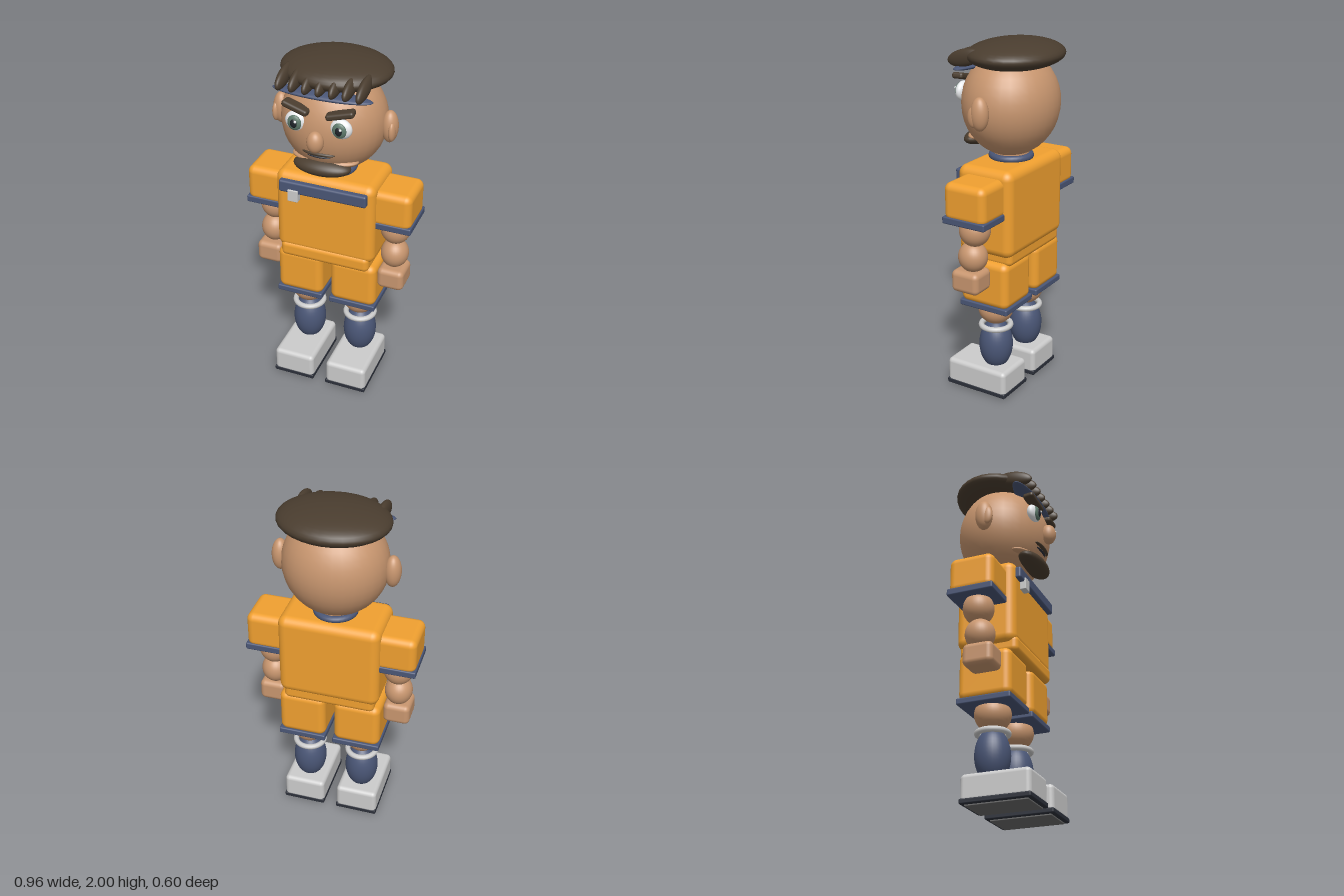
import * as THREE from 'three';
import { RoundedBoxGeometry } from 'three/addons/geometries/RoundedBoxGeometry.js';

const mat = (color) => new THREE.MeshStandardMaterial({ color });

export function createModel() {
  const model = new THREE.Group();
  const orange = mat(0xf0a030), navy = mat(0x4a5676), skin = mat(0xc8966f);
  const hair = mat(0x4a3d2f), grey = mat(0xcccccc), dark = mat(0x2c303a);
  const green = mat(0x5f7a6c), black = mat(0x20242a), white = mat(0xe8eaec);

  const add = (name, geometry, material, [x, y, z], parent = model) => {
    const mesh = new THREE.Mesh(geometry, material);
    mesh.name = name;
    mesh.position.set(x, y, z);
    parent.add(mesh);
    return mesh;
  };
  // ellipsoid from centre and radii
  const ball = (name, material, centre, radii, parent) => {
    const geometry = new THREE.SphereGeometry(1, 32, 20).scale(...radii);
    return add(name, geometry, material, centre, parent);
  };
  // rounded box from min/max extents
  const block = (name, material, [x0, x1], [y0, y1], [z0, z1], r, parent) => {
    const geometry = new RoundedBoxGeometry(x1 - x0, y1 - y0, z1 - z0, 4, r);
    return add(name, geometry, material, [(x0 + x1) / 2, (y0 + y1) / 2, (z0 + z1) / 2], parent);
  };
  // extents on side s (+1 left, -1 right)
  const span = (s, a, b) => (s > 0 ? [a, b] : [-b, -a]);

  // torso
  block('torso', orange, [-0.285, 0.285], [0.86, 1.35], [-0.19, 0.15], 0.05);
  block('waist', orange, [-0.26, 0.26], [0.81, 0.905], [-0.178, 0.157], 0.03);
  block('chestBand', navy, [-0.25, 0.25], [1.245, 1.315], [0.13, 0.178], 0.012);
  block('chestPatch', grey, [-0.195, -0.135], [1.2, 1.27], [0.15, 0.186], 0.004);
  add('neck', new THREE.CylinderGeometry(0.1, 0.1, 0.14, 28), skin, [0, 1.37, -0.02]);
  const collar = new THREE.TorusGeometry(0.105, 0.02, 10, 32).rotateX(Math.PI / 2);
  add('collar', collar, navy, [0, 1.36, -0.02]);

  // head
  const head = new THREE.Group();
  head.name = 'head';
  model.add(head);
  ball('skull', skin, [0, 1.655, -0.02], [0.287, 0.29, 0.26], head);
  ball('jaw', skin, [0, 1.477, 0.11], [0.185, 0.028, 0.085], head);
  ball('nose', skin, [0, 1.633, 0.253], [0.045, 0.06, 0.043], head);
  const beard = ball('beard', hair, [0, 1.45, 0.16], [0.16, 0.046, 0.075], head);
  beard.rotation.x = 0.15;
  ball('upperLip', hair, [0, 1.547, 0.205], [0.09, 0.014, 0.026], head);
  ball('lowerLip', dark, [0, 1.527, 0.197], [0.07, 0.009, 0.022], head);
  ball('headband', navy, [0, 1.855, 0.155], [0.272, 0.02, 0.06], head);
  ball('hairCap', hair, [0, 1.92, -0.05], [0.3, 0.08, 0.25], head);

  // fringe tufts
  for (let i = -3; i <= 3; i++) {
    const tuft = ball('fringeTuft', hair, [i * 0.072, 1.912, 0.132], [0.027, 0.046, 0.107], head);
    tuft.rotation.x = 0.25;
  }

  for (const s of [1, -1]) {
    const side = s > 0 ? 'left' : 'right';

    // face
    ball(side + 'Ear', skin, [s * 0.305, 1.65, -0.02], [0.045, 0.09, 0.05], head);
    ball(side + 'InnerEar', skin, [s * 0.325, 1.635, 0.008], [0.02, 0.055, 0.032], head);
    ball(side + 'Eye', white, [s * 0.122, 1.71, 0.206], [0.06, 0.055, 0.032], head);
    ball(side + 'Iris', green, [s * 0.122, 1.71, 0.23], [0.038, 0.042, 0.016], head);
    ball(side + 'Pupil', black, [s * 0.122, 1.71, 0.24], [0.02, 0.025, 0.011], head);
    ball(side + 'EyeGlint', white, [s * 0.122 + 0.012, 1.724, 0.25], [0.007, 0.007, 0.006], head);
    const brow = block(side + 'Eyebrow', hair, span(s, 0.045, 0.195), [1.772, 1.806], [0.175, 0.24], 0.014, head);
    brow.rotation.set(0, s * 0.12, s * 0.24);

    // arm
    const arm = new THREE.Group();
    arm.name = side + 'Arm';
    model.add(arm);
    block('sleeve', orange, span(s, 0.24, 0.475), [1.1, 1.31], [-0.15, 0.105], 0.04, arm);
    block('cuff', navy, span(s, 0.275, 0.48), [1.085, 1.125], [-0.155, 0.108], 0.008, arm);
    ball('upperArm', skin, [s * 0.36, 1.035, -0.02], [0.085, 0.09, 0.085], arm);
    ball('forearm', skin, [s * 0.363, 0.882, -0.008], [0.078, 0.085, 0.082], arm);
    block('hand', skin, span(s, 0.29, 0.442), [0.685, 0.81], [-0.08, 0.09], 0.03, arm);

    // leg
    const leg = new THREE.Group();
    leg.name = side + 'Leg';
    model.add(leg);
    block('shorts', orange, span(s, 0.025, 0.293), [0.56, 0.83], [-0.17, 0.13], 0.04, leg);
    block('shortsHem', navy, span(s, 0.022, 0.296), [0.537, 0.573], [-0.175, 0.133], 0.008, leg);
    ball('knee', skin, [s * 0.16, 0.505, -0.02], [0.1, 0.093, 0.1], leg);
    ball('sock', navy, [s * 0.16, 0.28, -0.02], [0.096, 0.15, 0.096], leg);
    const ring = new THREE.TorusGeometry(0.083, 0.016, 10, 32).rotateX(Math.PI / 2);
    add('sockBand', ring, grey, [s * 0.16, 0.4, -0.02], leg);
    block('shoe', grey, span(s, 0.04, 0.283), [0.015, 0.165], [-0.15, 0.235], 0.025, leg);
    block('sole', dark, span(s, 0.038, 0.285), [0.008, 0.036], [-0.152, 0.237], 0.007, leg);
    block('tread', mat(0x6a6a6a), span(s, 0.06, 0.263), [0, 0.015], [-0.13, 0.215], 0.003, leg);
  }
  return model;
}
